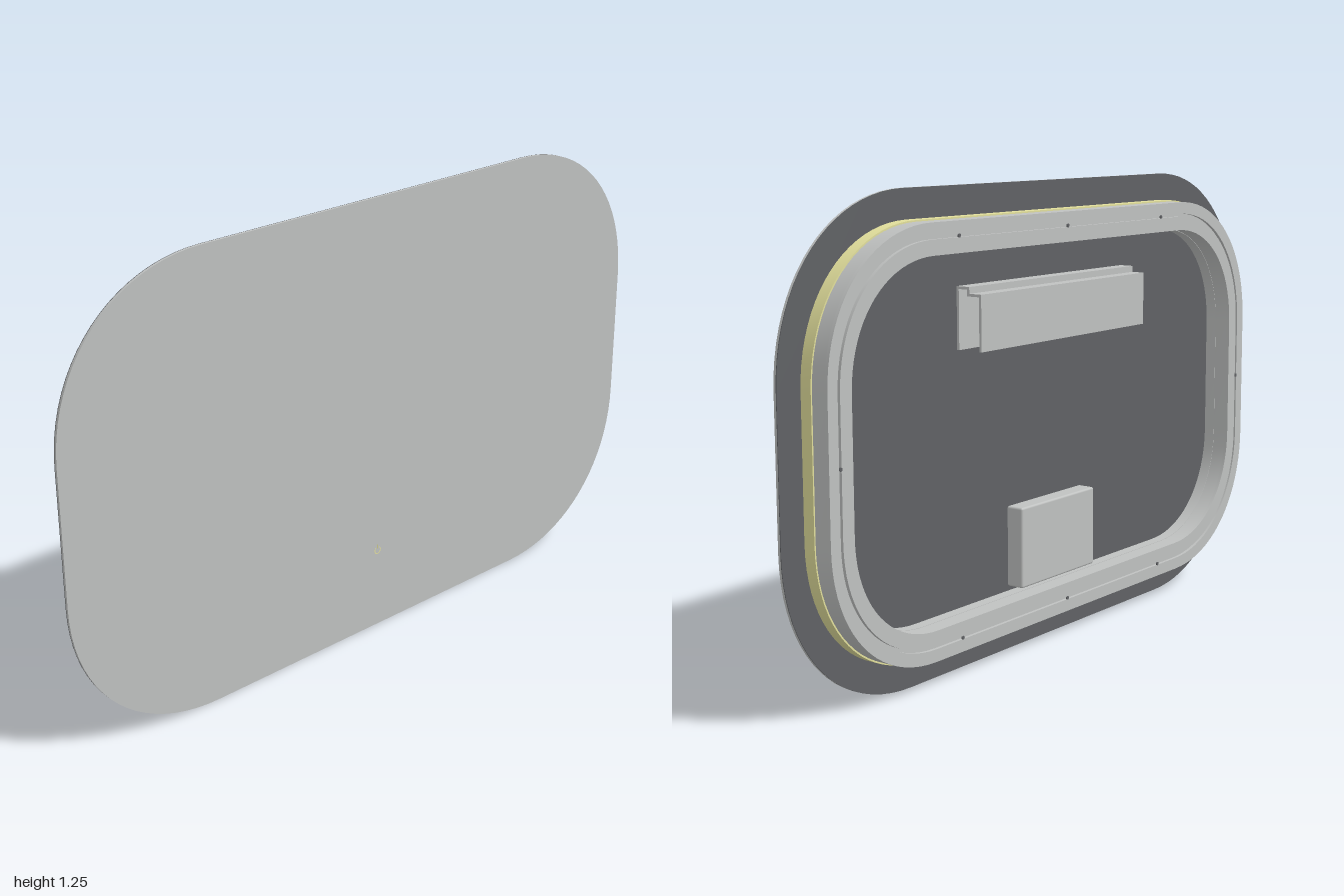
import * as THREE from 'three';
import { toCreasedNormals } from 'three/addons/utils/BufferGeometryUtils.js';
import { RoundedBoxGeometry } from 'three/addons/geometries/RoundedBoxGeometry.js';

const MID_Y = 0.625;

// Rounded rectangle of half sizes w, h and corner reach r, centred on (0, MID_Y)
function roundedOutline(path, w, h, r) {
  const k = r * 0.42;
  const t = MID_Y + h, b = MID_Y - h;
  path.moveTo(-w + r, b);
  path.lineTo(w - r, b);
  path.bezierCurveTo(w - k, b, w, b + k, w, b + r);
  path.lineTo(w, t - r);
  path.bezierCurveTo(w, t - k, w - k, t, w - r, t);
  path.lineTo(-w + r, t);
  path.bezierCurveTo(-w + k, t, -w, t - k, -w, t - r);
  path.lineTo(-w, b + r);
  path.bezierCurveTo(-w, b + k, -w + k, b, -w + r, b);
  return path;
}

// Extrudes a shape along x from x0 to x1 with smooth curves and sharp edges
function slab(shape, x0, x1) {
  const geo = new THREE.ExtrudeGeometry(shape, { depth: x1 - x0, bevelEnabled: false, curveSegments: 20 });
  geo.translate(0, 0, x0);
  geo.rotateY(Math.PI / 2);
  return toCreasedNormals(geo, 0.5);
}

// Panel inset from the full outline; a second inset cuts the opening
function panel(x0, x1, inset, holeInset) {
  const outline = (target, d) => roundedOutline(target, 1 - d, 0.625 - d, 0.44 - d * 0.9);
  const shape = outline(new THREE.Shape(), inset);
  if (holeInset) shape.holes.push(outline(new THREE.Path(), holeInset));
  return slab(shape, x0, x1);
}

export function createModel() {
  const group = new THREE.Group();
  const mat = (name, color) => {
    const m = new THREE.MeshStandardMaterial({ color });
    m.name = name;
    return m;
  };
  const grey = mat('light grey', 0xc0c2c1);
  const dark = mat('dark backing', 0x606265);
  const yellow = mat('pale yellow', 0xe2df9c);

  const add = (name, geo, material, x = 0, y = 0, z = 0) => {
    const mesh = new THREE.Mesh(geo, material);
    mesh.name = name;
    mesh.position.set(x, y, z);
    group.add(mesh);
    return mesh;
  };

  // Thin panel: grey face with a dark back
  add('frontPanel', panel(0.037, 0.044, 0), grey);
  add('panelBacking', panel(0.035, 0.037, 0), dark);

  // Glowing strip between panel and frame
  add('lightStrip', panel(0.003, 0.035, 0.076, 0.16), yellow);

  // Rear frame: base ring plus two lips with a shallow groove between them
  add('frameBase', panel(-0.036, 0.003, 0.08, 0.16), grey);
  add('frameOuterLip', panel(-0.045, -0.036, 0.08, 0.113), grey);
  add('frameInnerLip', panel(-0.045, -0.036, 0.121, 0.16), grey);
  add('frameInnerWall', panel(0.003, 0.035, 0.158, 0.161), grey);

  // Small screws along the frame
  const screwGeo = new THREE.CylinderGeometry(0.005, 0.005, 0.003, 10);
  screwGeo.rotateZ(Math.PI / 2);
  for (const s of [-1, 1]) {
    for (const z of [-0.45, 0, 0.45]) add('screw', screwGeo, dark, -0.0455, MID_Y + s * 0.508, z);
    add('screw', screwGeo, dark, -0.0455, MID_Y, s * 0.883);
  }

  // Hanging bracket: stepped hook profile swept along z, open below
  const hook = new THREE.Shape([
    [0.035, 0.836], [0.035, 0.998], [-0.006, 0.998], [-0.006, 0.981], [-0.044, 0.981], [-0.044, 0.836],
    [-0.037, 0.836], [-0.037, 0.974], [0.001, 0.974], [0.001, 0.991], [0.028, 0.991], [0.028, 0.836],
  ].map(([x, y]) => new THREE.Vector2(x, y)));
  const hookGeo = new THREE.ExtrudeGeometry(hook, { depth: 0.73, bevelEnabled: false });
  add('hangingBracket', hookGeo, grey, 0, 0, -0.365);

  // Control box low on the back
  add('controlBox', new RoundedBoxGeometry(0.052, 0.22, 0.33, 2, 0.006), grey, 0.009, 0.285, 0);

  // Tiny touch indicator on the face: broken ring and short bar
  const ringGeo = new THREE.RingGeometry(0.009, 0.012, 20, 1, Math.PI * 0.7, Math.PI * 1.6);
  ringGeo.rotateY(Math.PI / 2);
  add('touchRing', ringGeo, yellow, 0.0445, 0.235, -0.01);
  add('touchBar', new THREE.BoxGeometry(0.001, 0.012, 0.003), yellow, 0.0442, 0.246, -0.01);

  return group;
}
